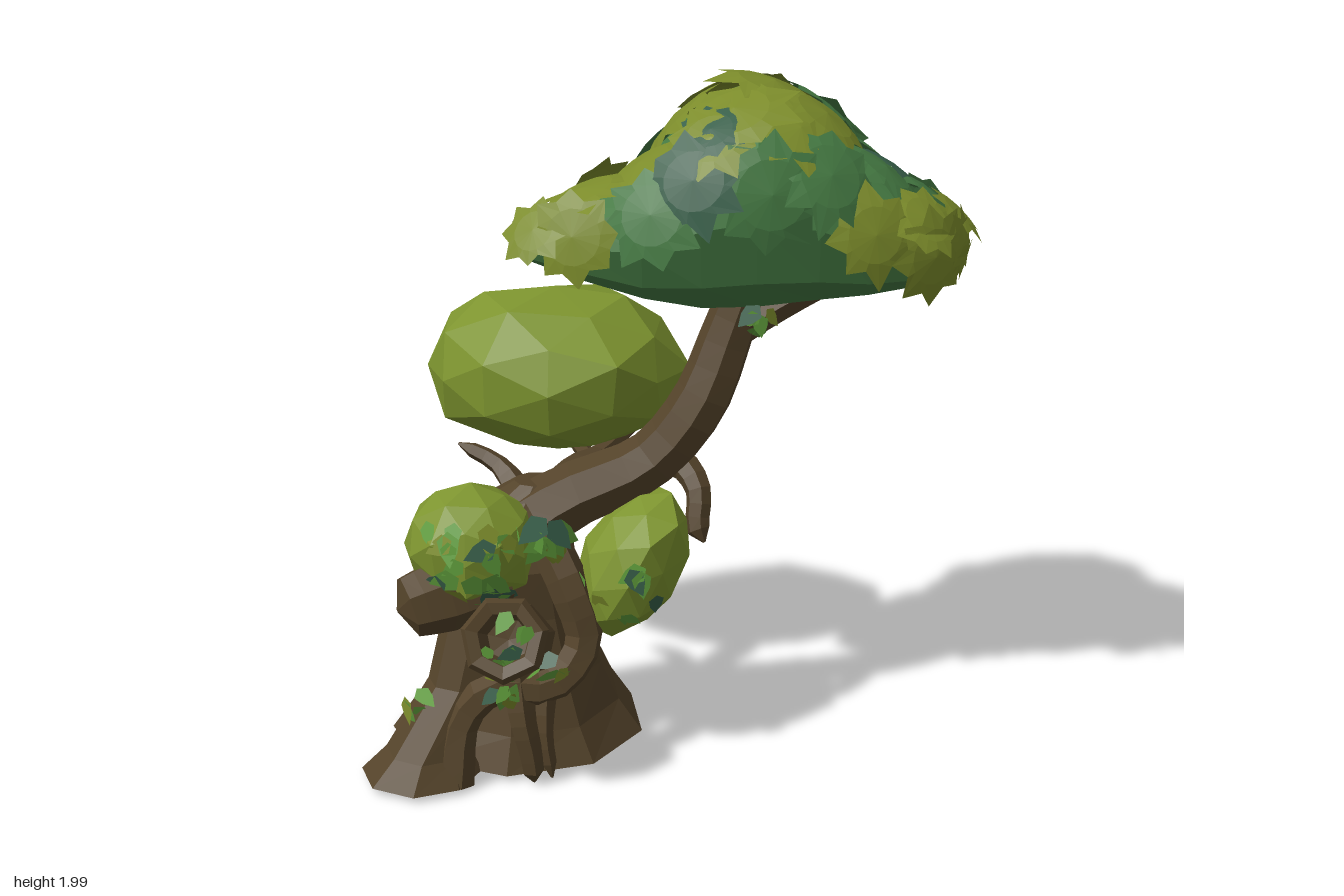
import * as THREE from 'three';
import { ParametricGeometry } from 'three/addons/geometries/ParametricGeometry.js';

const V = (x, y, z) => new THREE.Vector3(x, y, z);

export function createModel() {
  const root = new THREE.Group();
  root.name = 'twistedTree';

  const mat = (name, color) => new THREE.MeshStandardMaterial({ name, color, flatShading: true, side: THREE.DoubleSide });
  const bark = mat('bark', 0x54432a);
  const bushGreen = mat('bushGreen', 0x7d942f);
  const canopyGreen = mat('canopyGreen', 0x457a43);
  const olive = mat('oliveLeaf', 0x7c8c2b);
  const teal = mat('tealLeaf', 0x38604a);
  const ivyGreen = mat('ivyGreen', 0x5f9c3b);

  let seed = 7;
  const rnd = () => (seed = (seed * 16807) % 2147483647) / 2147483647;
  const spread = (a) => (rnd() * 2 - 1) * a;

  const add = (name, geo, material, parent = root) => {
    const m = new THREE.Mesh(geo, material);
    m.name = name;
    parent.add(m);
    return m;
  };
  const group = (name) => {
    const g = new THREE.Group();
    g.name = name;
    root.add(g);
    return g;
  };

  // Upright body from rings of [y, cx, cz, rx, rz]
  function stack(name, rings, sides) {
    const n = rings.length - 1;
    const geo = new THREE.CylinderGeometry(1, 1, 1, sides, n);
    const p = geo.attributes.position;
    for (let i = 0; i < p.count; i++) {
      const [y, cx, cz, rx, rz] = rings[Math.round((p.getY(i) + 0.5) * n)];
      p.setXYZ(i, cx + p.getX(i) * rx, y, cz + p.getZ(i) * rz);
    }
    return add(name, geo, bark);
  }

  // Tapering limb through points of [x, y, z, radius]
  function limb(name, pts, sides = 6, parent = root) {
    const curve = new THREE.CatmullRomCurve3(pts.map(([x, y, z]) => V(x, y, z)));
    const seg = (pts.length - 1) * 3;
    const geo = new THREE.TubeGeometry(curve, seg, 1, sides);
    const p = geo.attributes.position;
    const v = V(0, 0, 0);
    for (let i = 0; i < p.count; i++) {
      const t = Math.floor(i / (sides + 1)) / seg;
      const k = curve.getUtoTmapping(t) * (pts.length - 1);
      const a = Math.min(Math.floor(k), pts.length - 2);
      const r = t === 1 ? 0.004 : THREE.MathUtils.lerp(pts[a][3], pts[a + 1][3], k - a);
      const c = curve.getPointAt(t);
      v.fromBufferAttribute(p, i).sub(c).multiplyScalar(r).add(c);
      p.setXYZ(i, v.x, v.y, v.z);
    }
    return add(name, geo, bark, parent);
  }

  // Faceted bush
  function bush(name, c, s, tilt = 0, phase = 0) {
    const geo = new THREE.IcosahedronGeometry(1, 1);
    const p = geo.attributes.position;
    for (let i = 0; i < p.count; i++) {
      const [x, y, z] = [p.getX(i), p.getY(i), p.getZ(i)];
      const k = 1 + 0.06 * Math.sin(7 * x + 5 * y + 9 * z + phase);
      p.setXYZ(i, x * k, y * k, z * k);
    }
    const m = add(name, geo, bushGreen);
    m.position.set(...c);
    m.scale.set(...s);
    m.rotation.z = tilt;
  }

  // Trunk and side root
  stack('trunk', [[0.015, -0.45, 0.04, 0.38, 0.37], [0.12, -0.44, 0.05, 0.3, 0.32], [0.25, -0.44, 0.08, 0.25, 0.26],
    [0.45, -0.45, 0.12, 0.21, 0.2], [0.6, -0.46, 0.15, 0.2, 0.18], [0.74, -0.42, 0.12, 0.15, 0.14], [0.82, -0.38, 0.12, 0.06, 0.06]], 9);
  stack('sideRoot', [[0.015, -0.7, 0.37, 0.175, 0.18], [0.09, -0.68, 0.37, 0.12, 0.13],
    [0.28, -0.58, 0.31, 0.1, 0.1], [0.5, -0.53, 0.27, 0.1, 0.1]], 8);

  // Front roots
  const roots = group('frontRoots');
  limb('archRoot', [[-0.6, 0.01, 0.44, 0.06], [-0.57, 0.2, 0.41, 0.05], [-0.48, 0.29, 0.4, 0.05], [-0.32, 0.29, 0.38, 0.05],
    [-0.23, 0.4, 0.32, 0.055], [-0.27, 0.56, 0.3, 0.06], [-0.36, 0.72, 0.22, 0.06]], 6, roots);
  limb('hangingRoot', [[-0.42, 0.34, 0.38, 0.05], [-0.4, 0.2, 0.42, 0.04], [-0.38, 0.1, 0.42, 0.035], [-0.37, 0, 0.41, 0.03]], 5, roots);
  limb('thinRoot', [[-0.34, 0.3, 0.36, 0.04], [-0.34, 0.15, 0.4, 0.025], [-0.32, 0.01, 0.4, 0.02]], 5, roots);
  limb('brokenStub', [[-0.48, 0.58, 0.25, 0.11], [-0.62, 0.55, 0.33, 0.11], [-0.72, 0.53, 0.38, 0.09], [-0.75, 0.52, 0.39, 0.08]], 7);

  // Hollow log pointing forward
  const log = add('hollowLog', new THREE.LatheGeometry([[0.12, -0.34], [0.105, -0.12], [0.125, -0.02], [0.11, 0.01], [0.075, 0],
    [0.06, -0.12], [0.001, -0.13]].map(([r, h]) => new THREE.Vector2(r, h)), 7), bark);
  log.position.set(-0.43, 0.52, 0.57);
  log.quaternion.setFromUnitVectors(V(0, 1, 0), V(0, 0.42, 0.9).normalize());

  // Leaning stem, fork and branches
  limb('leaningStem', [[-0.5, 0.6, 0.15, 0.14], [-0.3, 0.76, 0.14, 0.1], [-0.05, 0.88, 0.12, 0.085], [0.09, 1.05, 0.11, 0.085],
    [0.18, 1.28, 0.08, 0.075], [0.24, 1.45, 0.08, 0.06]], 7);
  limb('forkBranch', [[0.16, 1.24, 0.09, 0.05], [0.3, 1.33, 0.07, 0.05], [0.47, 1.42, 0.05, 0.045]]);
  limb('hookBranch', [[-0.25, 0.74, 0.1, 0.06], [-0.1, 0.83, 0.06, 0.05], [0.03, 0.86, 0.07, 0.045], [0.09, 0.8, 0.13, 0.038],
    [0.09, 0.7, 0.17, 0.035], [0.11, 0.66, 0.19, 0.03]]);
  limb('backBranch', [[-0.35, 0.72, 0.08, 0.07], [-0.3, 0.77, -0.08, 0.04], [-0.22, 0.76, -0.25, 0.035], [-0.15, 0.78, -0.42, 0.025],
    [-0.1, 0.77, -0.57, 0.012]]);
  limb('backTwig', [[-0.24, 0.76, -0.2, 0.03], [-0.3, 0.78, -0.34, 0.025], [-0.36, 0.85, -0.4, 0.02]], 5);
  limb('leftTwig', [[-0.42, 0.74, 0.08, 0.05], [-0.5, 0.82, 0, 0.03], [-0.62, 0.87, -0.04, 0.02]], 5);
  limb('lowTwig', [[-0.3, 0.74, 0, 0.035], [-0.2, 0.7, -0.12, 0.025], [-0.14, 0.74, -0.26, 0.012]], 5);

  // Bushes
  bush('largeBush', [-0.35, 1.03, -0.3], [0.385, 0.255, 0.32], 0, 1);
  bush('leftBush', [-0.55, 0.67, 0.25], [0.185, 0.18, 0.19], 0, 2);
  bush('rightBush', [-0.1, 0.6, 0.19], [0.15, 0.235, 0.2], -0.5, 4);

  // Canopy core: sections of [x, top, bottom, back z, front z]
  const sections = [[-0.39, 1.56, 1.54, 0.15, 0.18], [-0.37, 1.6, 1.49, 0.07, 0.27], [-0.24, 1.66, 1.44, 0, 0.31],
    [-0.06, 1.74, 1.37, -0.22, 0.34], [0.1, 1.9, 1.33, -0.34, 0.35], [0.25, 1.95, 1.33, -0.36, 0.34], [0.42, 1.87, 1.35, -0.35, 0.31],
    [0.56, 1.73, 1.37, -0.26, 0.27], [0.7, 1.64, 1.4, -0.18, 0.23], [0.79, 1.59, 1.46, -0.08, 0.14], [0.81, 1.54, 1.52, 0.02, 0.05]];
  const last = sections.length - 1;
  function canopyAt(k, angle, target) {
    const a = Math.min(Math.floor(k), last - 1);
    const [x, top, bottom, back, front] = sections[a].map((v, j) => THREE.MathUtils.lerp(v, sections[a + 1][j], k - a));
    const round = (v) => Math.sign(v) * Math.abs(v) ** 0.85;
    return target.set(x, (top + bottom) / 2 + round(Math.sin(angle)) * (top - bottom) / 2,
      (front + back) / 2 + round(Math.cos(angle)) * (front - back) / 2);
  }
  add('canopyCore', new ParametricGeometry((u, v, t) => canopyAt(u * last, v * Math.PI * 2, t), last, 11), canopyGreen);

  // Domed leaf patch with a jagged rim
  function patch(parent, c, n, size, material, bend) {
    const q = new THREE.Quaternion().setFromUnitVectors(V(0, 0, 1), n);
    const pos = [c.x, c.y, c.z];
    const idx = [];
    const N = 16;
    const turn = rnd() * 6;
    for (const ring of [0.6, 1]) {
      for (let i = 0; i < N; i++) {
        const a = turn + (i / N) * Math.PI * 2;
        const r = size * ring * (ring < 1 ? 1 : i % 2 ? 0.78 + spread(0.06) : 1.08 + spread(0.14));
        const p = V(Math.cos(a) * r, Math.sin(a) * r, -bend * r * r).applyQuaternion(q).add(c);
        pos.push(p.x, p.y, p.z);
      }
    }
    for (let i = 0; i < N; i++) {
      const j = (i + 1) % N;
      const [a, b, d, e] = [1 + i, 1 + j, 1 + N + i, 1 + N + j];
      idx.push(0, a, b, a, d, e, a, e, b);
    }
    const geo = new THREE.BufferGeometry();
    geo.setAttribute('position', new THREE.Float32BufferAttribute(pos, 3));
    geo.setIndex(idx);
    geo.computeVertexNormals();
    add('leafPatch', geo, material, parent);
  }

  // Canopy leaves: [section, angle in degrees (0 front, 90 top, 180 back), size]
  const leaves = group('canopyLeaves');
  const layers = [
    [olive, [[1.2, 30, 0.1], [1.3, 110, 0.1], [2, 15, 0.13], [2.1, 80, 0.15], [2.2, 150, 0.13], [3, 75, 0.15], [3.6, 100, 0.16],
      [4.4, 125, 0.16], [4.6, 60, 0.16], [5.2, 88, 0.17], [5.6, 52, 0.14], [4.2, 45, 0.13], [6, 75, 0.15], [7, 10, 0.13],
      [8, 40, 0.12], [8.2, 0, 0.13], [9, 80, 0.09], [9.2, 10, 0.09], [9.1, 330, 0.07], [5.2, 140, 0.14]]],
    [canopyGreen, [[3.2, 140, 0.15], [4, 165, 0.15], [5, 165, 0.17], [6, 150, 0.17], [6.1, 115, 0.16], [7, 130, 0.15], [7.2, 80, 0.14],
      [8, 110, 0.13], [8.3, 160, 0.11], [5.2, 12, 0.16], [6.1, 30, 0.15], [3.2, 20, 0.14], [5.6, 188, 0.14], [6.4, 185, 0.13]]],
    [teal, [[3.9, 25, 0.14], [4.2, 50, 0.1], [7.4, 105, 0.1]]],
  ];
  const mid = V(0.22, 1.55, 0.03);
  for (const [material, list] of layers) {
    for (const [k, deg, size] of list) {
      const a = THREE.MathUtils.degToRad(deg);
      const c = canopyAt(k, a, V(0, 0, 0));
      const du = canopyAt(Math.min(k + 0.3, last), a, V(0, 0, 0)).sub(canopyAt(Math.max(k - 0.3, 0), a, V(0, 0, 0)));
      const dv = canopyAt(k, a + 0.15, V(0, 0, 0)).sub(canopyAt(k, a - 0.15, V(0, 0, 0)));
      const n = du.cross(dv).normalize();
      if (n.dot(c.clone().sub(mid)) < 0) n.negate();
      patch(leaves, c.addScaledVector(n, 0.03), n, size, material, 1.4);
    }
  }

  // Pointed leaf blade
  const blade = new THREE.Shape([[0, 0], [0.32, 0.25], [0.25, 0.6], [0, 1], [-0.25, 0.6], [-0.32, 0.25]].map(([x, y]) => new THREE.Vector2(x, y)));
  const bladeGeo = new THREE.ShapeGeometry(blade);
  function leaf(parent, p, facing, size, material) {
    const m = add('leaf', bladeGeo, material, parent);
    m.position.copy(p);
    m.lookAt(p.clone().add(facing));
    m.rotateZ(Math.PI + spread(1.3));
    m.rotateX(-0.25);
    m.scale.setScalar(size);
  }

  // Hanging leaves along the back edge
  const fringe = group('hangingLeaves');
  for (let i = 0; i < 12; i++) {
    const c = canopyAt(4 + i * 0.27, Math.PI * (1.02 + spread(0.06)), V(0, 0, 0));
    const m = add('leaf', bladeGeo, canopyGreen, fringe);
    m.position.set(c.x, c.y, c.z - 0.025);
    m.rotation.set(Math.PI + 0.1, spread(0.5), spread(0.3));
    m.scale.setScalar(0.18 + rnd() * 0.06);
  }

  // Ivy clusters: [centre, radii, count, outward direction, leaf size]
  const ivy = group('ivy');
  const ivyMats = [ivyGreen, ivyGreen, olive, teal, ivyGreen];
  const clusters = [
    [[-0.55, 0.67, 0.25], [0.2, 0.19, 0.2], 26, [0.1, 0, 1], 0.1], [[-0.1, 0.6, 0.19], [0.18, 0.2, 0.21], 12, [0, 0, 1], 0.08],
    [[-0.1, 0.6, 0.17], [0.16, 0.2, 0.2], 6, [0, 0.2, -1], 0.08], [[-0.43, 0.5, 0.5], [0.14, 0.14, 0.1], 12, [0, -0.2, 0.8], 0.07],
    [[-0.7, 0.24, 0.36], [0.05, 0.04, 0.05], 5, [-0.4, 0.5, 0.8], 0.08], [[-0.46, 0.3, 0.42], [0.05, 0.04, 0.05], 5, [0, 0.3, 1], 0.07],
    [[-0.3, 0.36, 0.36], [0.05, 0.05, 0.06], 5, [0.2, 0.2, 1], 0.08], [[-0.36, 0.72, 0.27], [0.08, 0.12, 0.1], 12, [0.2, 0.3, 1], 0.1],
    [[0.25, 1.33, 0.12], [0.05, 0.05, 0.06], 6, [0.2, -0.2, 1], 0.08], [[-0.22, 0.75, -0.2], [0.06, 0.04, 0.1], 6, [0, 0.4, -0.6], 0.06],
  ];
  for (const [c, r, count, out, size] of clusters) {
    for (let i = 0; i < count; i++) {
      const d = V(out[0] + spread(0.9), out[1] + spread(0.9), out[2] + spread(0.3)).normalize();
      const p = V(c[0] + d.x * r[0], c[1] + d.y * r[1], c[2] + d.z * r[2]);
      leaf(ivy, p, d, size * (0.75 + rnd() * 0.4), ivyMats[i % ivyMats.length]);
    }
  }
  return root;
}
